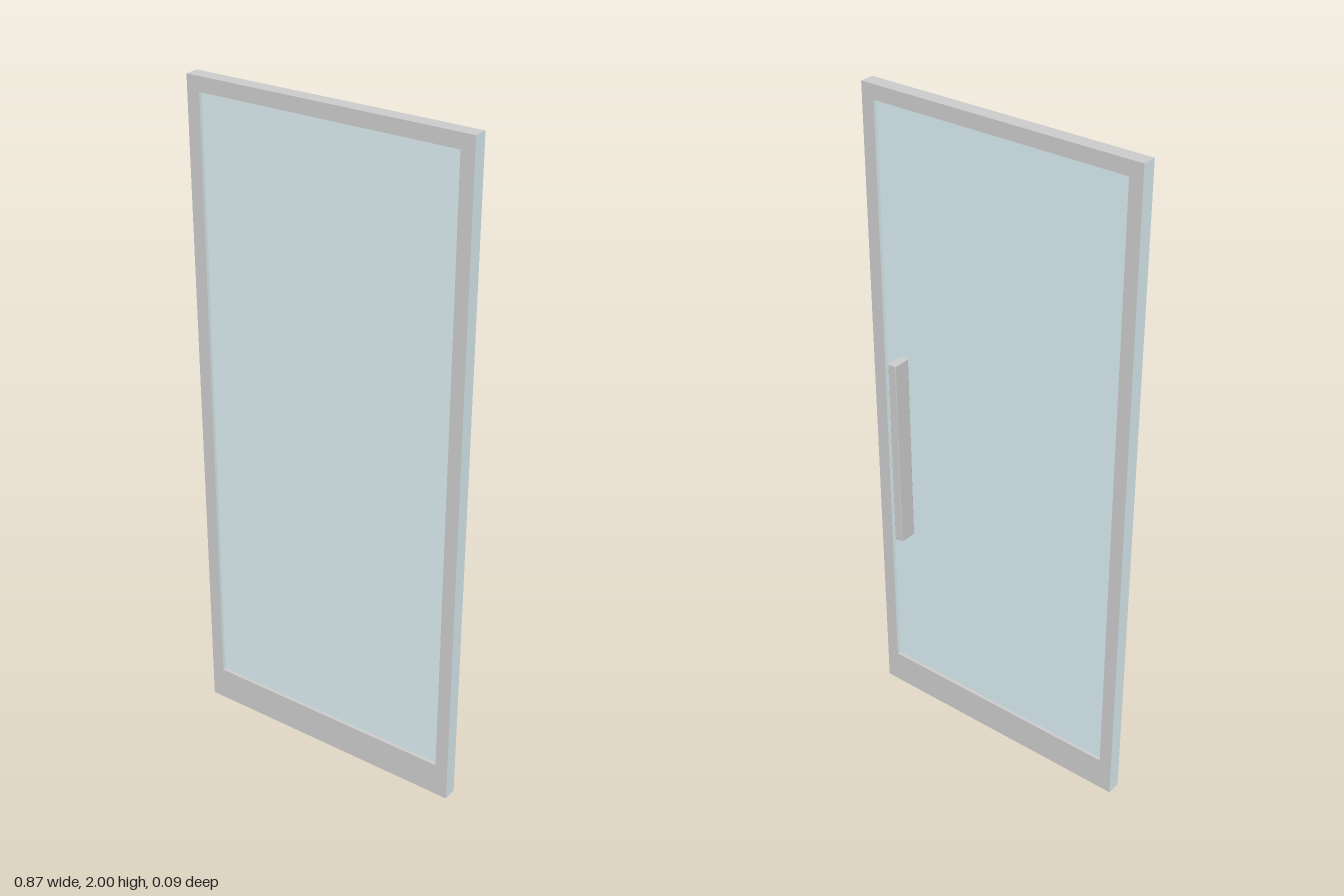
import * as THREE from 'three';
import { RoundedBoxGeometry } from 'three/addons/geometries/RoundedBoxGeometry.js';

const HALF_W = 0.433, HEIGHT = 2, DEPTH = 0.043;
const STILE = 0.04, TOP_RAIL = 0.042, BOTTOM_RAIL = 0.106;

export function createModel() {
  const group = new THREE.Group();
  const grey = new THREE.MeshStandardMaterial({ color: 0xcccccc });
  const glass = new THREE.MeshStandardMaterial({ color: 0xdaecf1 });

  function add(name, geometry, material, x, y, z) {
    const mesh = new THREE.Mesh(geometry, material);
    mesh.name = name;
    mesh.position.set(x, y, z);
    group.add(mesh);
  }

  const innerW = 2 * (HALF_W - STILE);
  const innerH = HEIGHT - TOP_RAIL - BOTTOM_RAIL;
  const midZ = DEPTH / 2;

  // Upright stiles: tinted edges, grey front, back and ends
  for (const [side, name] of [[1, 'leftStile'], [-1, 'rightStile']]) {
    add(name, new THREE.BoxGeometry(STILE, HEIGHT, DEPTH),
      [glass, glass, grey, grey, grey, grey], side * (HALF_W - STILE / 2), HEIGHT / 2, midZ);
  }

  // Rails between the stiles
  add('topRail', new THREE.BoxGeometry(innerW, TOP_RAIL, DEPTH), grey, 0, HEIGHT - TOP_RAIL / 2, midZ);
  add('bottomRail', new THREE.BoxGeometry(innerW, BOTTOM_RAIL, DEPTH), grey, 0, BOTTOM_RAIL / 2, midZ);

  // Pane recessed from both faces
  add('glassPane', new THREE.BoxGeometry(innerW, innerH, 0.022), glass, 0, BOTTOM_RAIL + innerH / 2, midZ);

  // Vertical pull bar on the back
  add('handle', new RoundedBoxGeometry(0.027, 0.605, 0.055, 2, 0.002), grey, 0.3285, 0.9135, -0.0165);

  return group;
}
